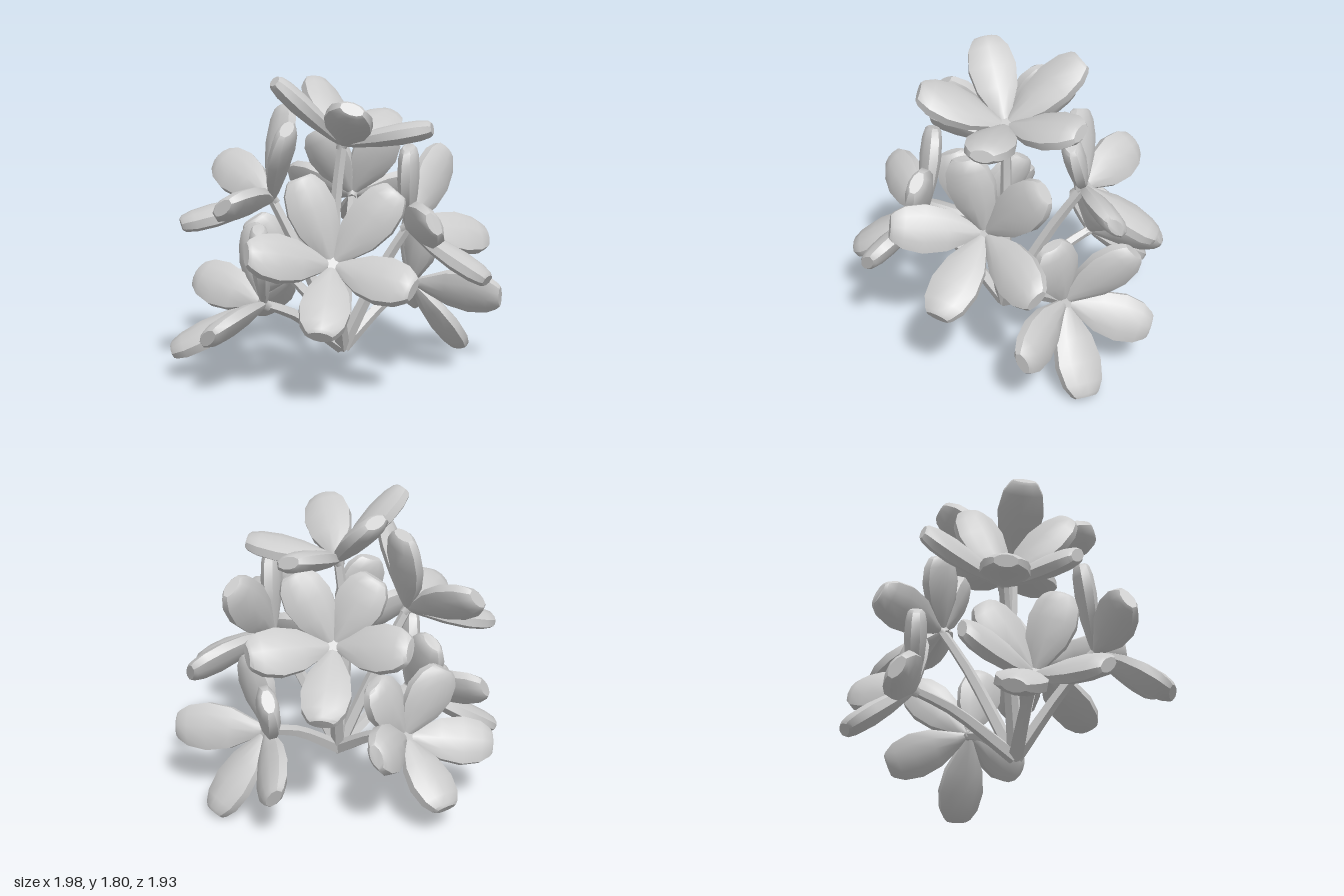
import * as THREE from 'three';
import { mergeVertices, toCreasedNormals } from 'three/addons/utils/BufferGeometryUtils.js';

const V = (a) => new THREE.Vector3(...a);
const material = new THREE.MeshStandardMaterial({ color: 0xcccccc });
const root = V([0.02, 0.17, 0]);

// Each whorl: stem end, then the five leaf tips in order round it
const upperWhorls = [
  { name: 'topWhorl', at: [0.02, 1.42, -0.01], tips: [[-0.2, 1.78, -0.42], [0.28, 1.56, -0.48], [0.56, 1.52, 0.03], [0.13, 1.66, 0.48], [-0.36, 1.8, 0.18]] },
  { name: 'leftWhorl', at: [0.42, 0.93, 0.04], tips: [[0.62, 1.36, -0.33], [0.88, 0.82, -0.33], [0.9, 0.65, 0.23], [0.6, 1.03, 0.56], [0.43, 1.42, 0.16]] },
  { name: 'backWhorl', at: [0.03, 1.06, -0.48], tips: [[0.26, 1.48, -0.42], [0.5, 1.1, -0.72], [0.08, 0.79, -0.93], [-0.4, 1.15, -0.73], [-0.2, 1.46, -0.42]] },
  { name: 'rightWhorl', at: [-0.4, 1.09, 0.06], tips: [[-0.25, 1.54, 0.42], [-0.6, 1.1, 0.56], [-0.92, 0.95, 0.24], [-0.79, 1.29, -0.3], [-0.36, 1.63, -0.18]] },
];
const lowerWhorls = [
  { name: 'frontWhorl', at: [0.02, 0.77, 0.5], tips: [[-0.17, 1.27, 0.47], [0.38, 1.2, 0.45], [0.5, 0.69, 0.74], [0.01, 0.46, 0.95], [-0.42, 0.88, 0.8]] },
  { name: 'lowerLeftWhorl', at: [0.42, 0.5, -0.43], tips: [[0.98, 0.45, -0.27], [0.73, 0.05, -0.61], [0.35, 0.33, -0.94], [0.38, 0.87, -0.82], [0.52, 0.95, -0.36]] },
  { name: 'lowerBackWhorl', at: [-0.38, 0.5, -0.49], tips: [[-0.9, 0.41, -0.38], [-0.62, 0.2, -0.8], [-0.22, 0.6, -0.94], [-0.2, 0.88, -0.58], [-0.6, 0.9, -0.4]] },
  { name: 'lowerRightWhorl', at: [-0.42, 0.48, 0.25], tips: [[-0.42, 0.96, 0.42], [-0.66, 0.38, 0.73], [-0.97, 0.19, 0.3], [-0.88, 0.6, -0.02], [-0.55, 0.9, -0.02]] },
];

// Leaf stations: distance along, half width, half thickness
const stations = [
  [0, 0.02, 0.018], [0.13, 0.05, 0.034], [0.4, 0.12, 0.056],
  [0.65, 0.142, 0.066], [0.86, 0.122, 0.062], [0.97, 0.085, 0.05], [1, 0.066, 0.036],
];
// Cross-section: blunt edges with a soft ridge on both faces
const section = [[1, -0.4], [1, 0.4], [0.55, 0.85], [0, 1], [-0.55, 0.85], [-1, 0.4], [-1, -0.4], [-0.55, -0.85], [0, -1], [0.55, -0.85]];

function leafGeometry(from, to, axis) {
  const along = to.clone().sub(from);
  const dir = along.clone().normalize();
  const side = axis.clone().cross(dir).normalize();
  const up = dir.clone().cross(side);
  const pos = [];
  const index = [];
  const n = section.length;
  for (const [s, w, t] of stations) {
    for (const [a, b] of section) {
      const p = from.clone().addScaledVector(along, s).addScaledVector(side, a * w).addScaledVector(up, b * t);
      pos.push(p.x, p.y, p.z);
    }
  }
  for (let i = 0; i < stations.length - 1; i++) {
    for (let j = 0; j < n; j++) {
      const k = (j + 1) % n;
      const a = i * n + j, b = i * n + k, c = b + n, d = a + n;
      index.push(a, b, c, a, c, d);
    }
  }
  // Flat caps at the base and tip
  const last = (stations.length - 1) * n;
  for (let j = 1; j < n - 1; j++) {
    index.push(0, j + 1, j, last, last + j, last + j + 1);
  }
  const g = new THREE.BufferGeometry();
  g.setAttribute('position', new THREE.Float32BufferAttribute(pos, 3));
  g.setIndex(index);
  return toCreasedNormals(g, 0.7);
}

// Normal of the ring of tips, turned to face away from the root
function whorlAxis(center, tips) {
  const axis = new THREE.Vector3();
  tips.forEach((p, i) => {
    const q = tips[(i + 1) % tips.length];
    axis.add(p.clone().sub(center).cross(q.clone().sub(center)));
  });
  if (axis.dot(center.clone().sub(root)) < 0) axis.negate();
  return axis.normalize();
}

// Stem: a five-sided tube that thins toward its whorl; spreading stems arch, the upright one sways
function stemGeometry(end) {
  const reach = Math.min(1, Math.hypot(end.x, end.z) / 0.45);
  const mid = root.clone().lerp(end, 0.62);
  mid.x -= 0.05 * (1 - reach);
  mid.y += 0.04 * reach;
  const curve = new THREE.CatmullRomCurve3([root, mid, end]);
  const sides = 5;
  const steps = 6;
  const g = new THREE.TubeGeometry(curve, steps, 0.046, sides, false);
  const p = g.attributes.position;
  for (let i = 0; i < p.count; i++) {
    const u = Math.floor(i / (sides + 1)) / steps;
    const c = curve.getPointAt(u);
    const v = new THREE.Vector3().fromBufferAttribute(p, i).sub(c).multiplyScalar(1 - 0.35 * u).add(c);
    p.setXYZ(i, v.x, v.y, v.z);
  }
  g.deleteAttribute('normal');
  g.deleteAttribute('uv');
  return toCreasedNormals(mergeVertices(g), 0.7);
}

export function createModel() {
  const model = new THREE.Group();
  model.name = 'leafyPlant';
  const add = (parent, geometry, name) => {
    const mesh = new THREE.Mesh(geometry, material);
    mesh.name = name;
    parent.add(mesh);
    return mesh;
  };

  for (const { name, at, tips } of upperWhorls.concat(lowerWhorls)) {
    const group = new THREE.Group();
    group.name = name;
    model.add(group);
    const center = V(at);
    const ends = tips.map(V);
    const axis = whorlAxis(center, ends);
    add(group, stemGeometry(center), 'stem');
    ends.forEach((tip) => add(group, leafGeometry(center, tip, axis), 'leaf'));

    // Small bud where the leaves meet
    const bud = add(group, new THREE.CylinderGeometry(0.045, 0.03, 0.08, 5), 'bud');
    bud.position.copy(center);
    bud.quaternion.setFromUnitVectors(new THREE.Vector3(0, 1, 0), axis);
  }

  // Foot closing the bundle of stems
  const foot = add(model, new THREE.CylinderGeometry(0.05, 0.04, 0.04, 6), 'foot');
  foot.position.set(root.x, root.y + 0.015, root.z);
  return model;
}
